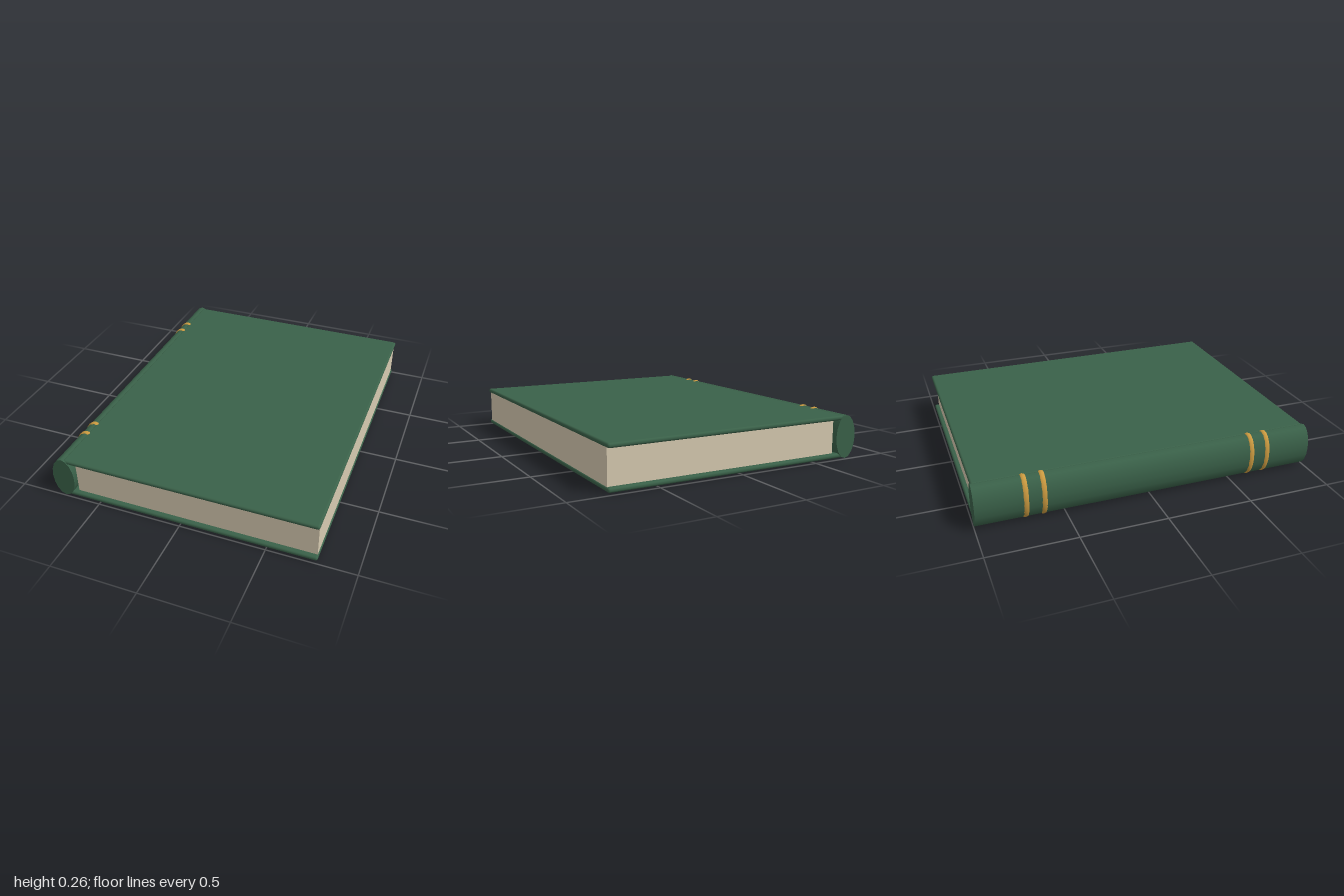
import * as THREE from 'three';
import { RoundedBoxGeometry } from 'three/addons/geometries/RoundedBoxGeometry.js';

const green = new THREE.MeshStandardMaterial({ color: 0x3a6149, name: 'clothGreen' });
const cream = new THREE.MeshStandardMaterial({ color: 0xd6cab0, name: 'paperCream' });
const gold = new THREE.MeshStandardMaterial({ color: 0xcb9a40, name: 'giltGold' });

const SPINE_X = -0.715, MID_Y = 0.131;

export function createModel() {
  const book = new THREE.Group();
  book.name = 'book';
  const add = (name, geometry, material, x, y, z) => {
    const mesh = new THREE.Mesh(geometry, material);
    mesh.name = name;
    mesh.position.set(x, y, z);
    book.add(mesh);
    return mesh;
  };

  // Two boards with rounded edges
  const board = new RoundedBoxGeometry(1.488, 0.026, 1.986, 3, 0.012);
  add('topCover', board, green, 0.037, 0.241, 0);
  add('bottomCover', board, green, 0.037, 0.021, 0);

  // Page block, set back from the board edges
  add('pages', new THREE.BoxGeometry(1.42, 0.2, 1.932), cream, 0.065, MID_Y, 0);

  // Oval spine running the full length of the book
  const spine = new THREE.CylinderGeometry(1, 1, 1.994, 16);
  spine.rotateX(Math.PI / 2);
  spine.scale(0.069, 0.126, 1);
  add('spine', spine, green, SPINE_X, MID_Y, 0);

  // Raised gilt bands, in pairs near each end of the spine
  const band = new THREE.TorusGeometry(0.0665, 0.0055, 8, 32);
  band.scale(1, 0.131 / 0.072, 0.016 / 0.0055);
  for (const z of [-0.72, -0.62, 0.62, 0.72]) {
    add('spineBand', band, gold, SPINE_X, MID_Y, z);
  }
  return book;
}
